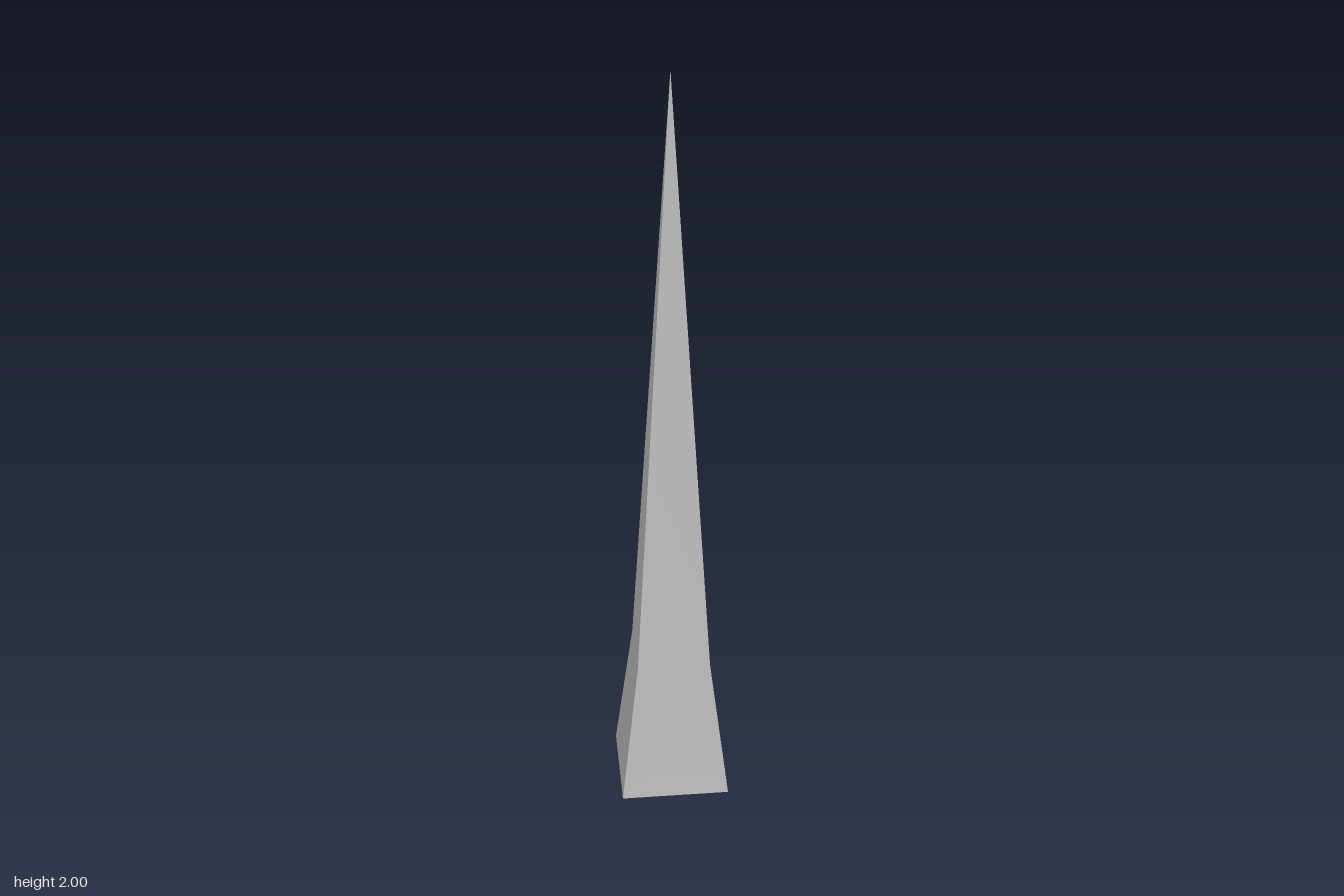
import * as THREE from 'three';
import { toCreasedNormals } from 'three/addons/utils/BufferGeometryUtils.js';

// Profile of the spike: [half width of the square section, height]
const PROFILE = [[0.15, 0], [0.1, 0.4], [0, 2]];

export function createModel() {
  const group = new THREE.Group();
  group.name = 'spike';

  // Four-sided lathe, turned so its flat sides face the axes; open underneath
  const points = PROFILE.map(([half, y]) => new THREE.Vector2(half * Math.SQRT2, y));
  const geometry = toCreasedNormals(new THREE.LatheGeometry(points, 4, Math.PI / 4), 0.5);

  const material = new THREE.MeshStandardMaterial({ color: 0xcccccc, side: THREE.DoubleSide });
  const shell = new THREE.Mesh(geometry, material);
  shell.name = 'taperedShell';
  group.add(shell);
  return group;
}
